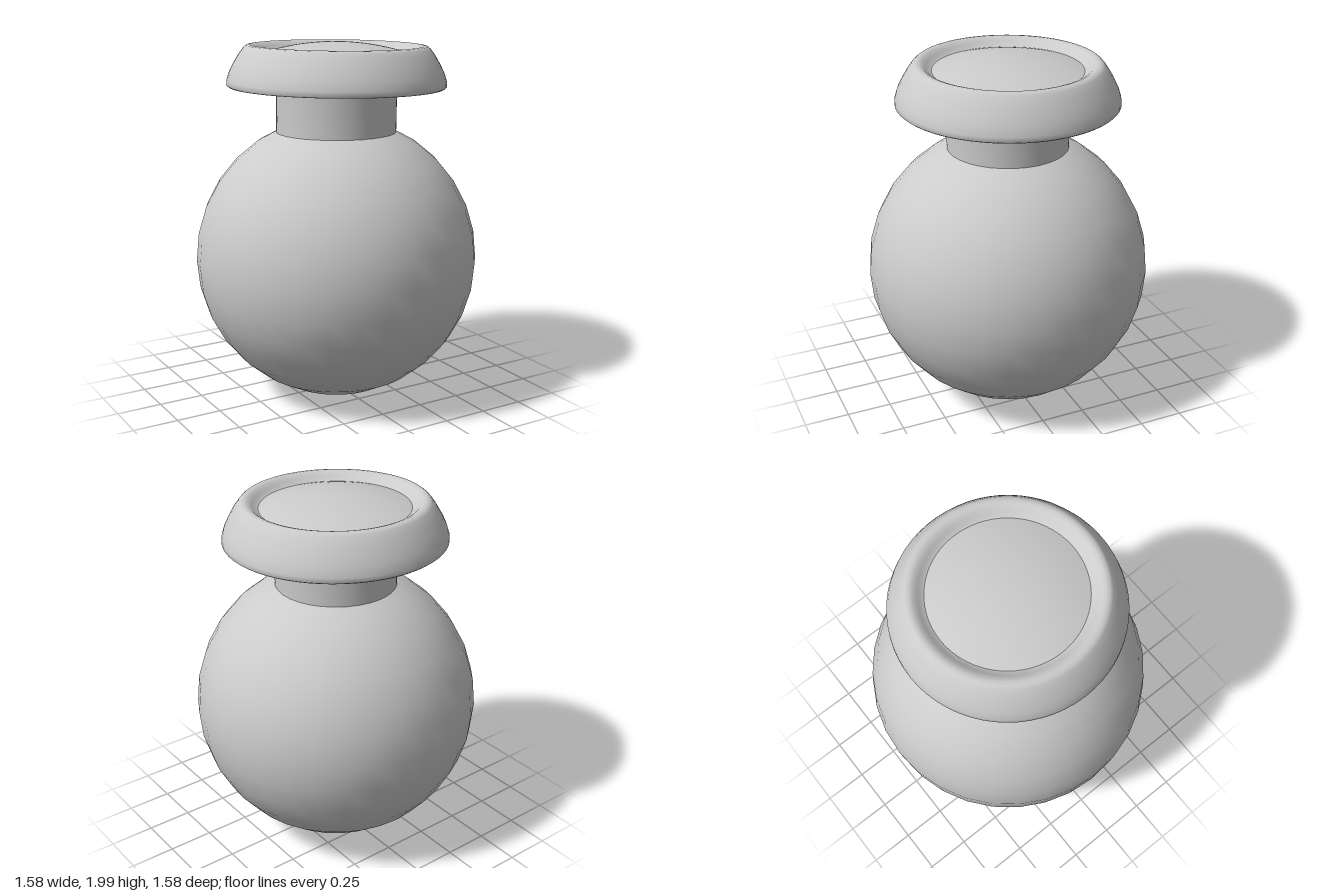
import * as THREE from 'three';

const material = new THREE.MeshStandardMaterial({ color: 0xcccccc });

function part(name, geometry, parent) {
  const mesh = new THREE.Mesh(geometry, material);
  mesh.name = name;
  parent.add(mesh);
  return mesh;
}

// Smooth surface of revolution from [radius, height] pairs, bottom to top
function lathe(points) {
  return new THREE.LatheGeometry(points.map(([r, y]) => new THREE.Vector2(r, y)), 64);
}

export function createModel() {
  const group = new THREE.Group();
  group.name = 'thumbstick';

  // Ball base
  part('ball', new THREE.SphereGeometry(0.79, 32, 16), group).position.y = 0.795;

  // Upper assembly leans very slightly to +x, pivoting at the neck's foot
  const stick = new THREE.Group();
  stick.name = 'stick';
  stick.position.y = 1.5;
  stick.rotation.z = -0.011;
  group.add(stick);

  // Neck flowing into the flat underside, rounded flank, rim and groove of the cap
  part('neckAndCap', lathe([
    [0.333, -0.02], [0.333, 0.25], [0.345, 0.257], [0.595, 0.257],
    [0.605, 0.265], [0.604, 0.29], [0.59, 0.335], [0.565, 0.385],
    [0.535, 0.435], [0.51, 0.468], [0.495, 0.48], [0.475, 0.483],
    [0.455, 0.476], [0.435, 0.46], [0.42, 0.445], [0.405, 0.438],
  ]), stick);

  // Shallow dome inside the rim
  const dome = [];
  for (let i = 0; i <= 10; i++) {
    const r = 0.405 * (1 - i / 10);
    dome.push([r, 0.5 - 0.378 * r * r]);
  }
  part('capDome', lathe(dome), stick);

  return group;
}
